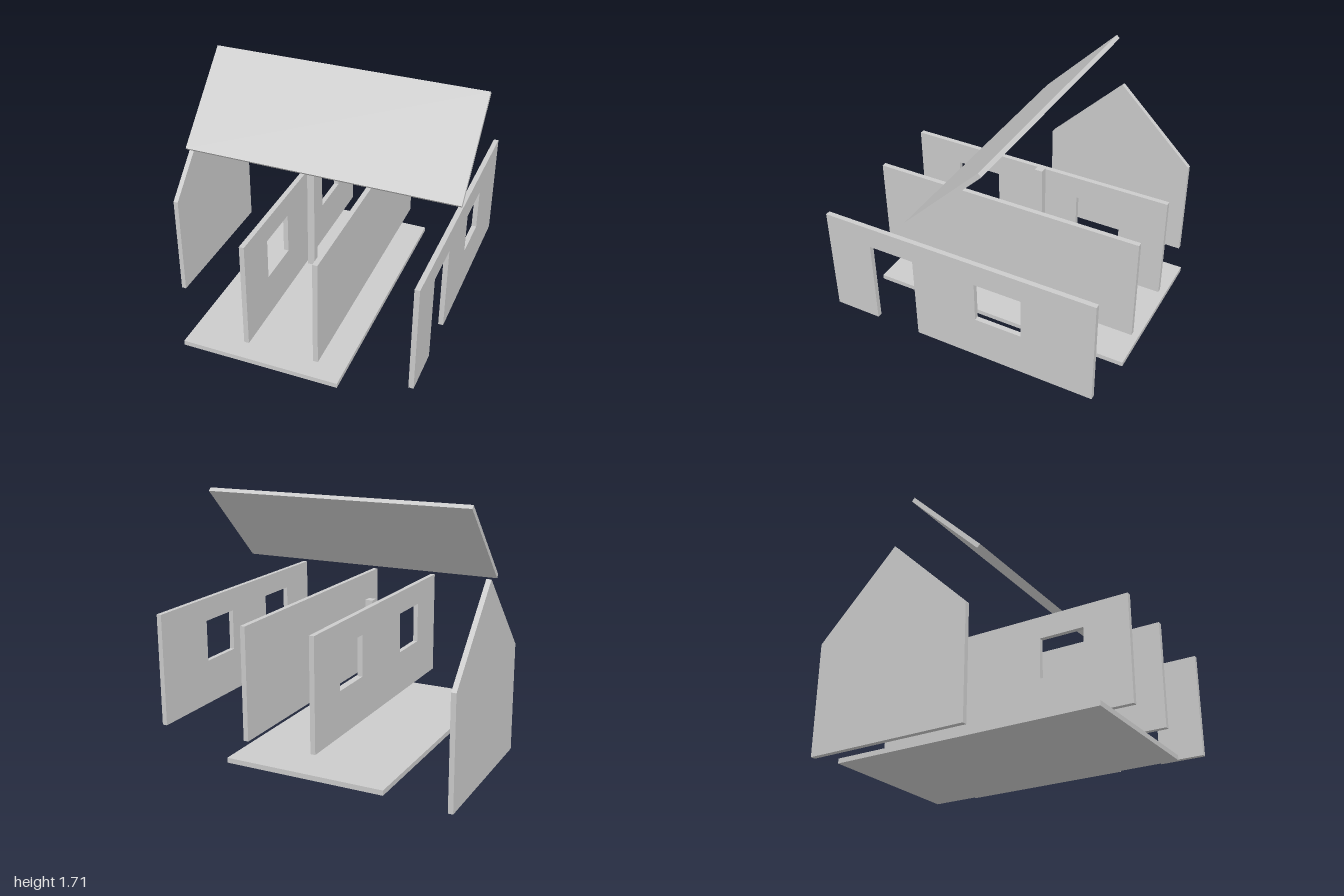
import * as THREE from 'three';

const material = new THREE.MeshStandardMaterial({ color: 0xcccccc, flatShading: true });
const WALL = 0.033; // panel thickness

export function createModel() {
  const model = new THREE.Group();
  model.name = 'explodedCabin';

  const add = (name, geometry) => {
    const mesh = new THREE.Mesh(geometry, material);
    mesh.name = name;
    model.add(mesh);
    return mesh;
  };

  // Box given by its limits on each axis
  const box = (name, [x0, x1], [y0, y1], [z0, z1]) => {
    const mesh = add(name, new THREE.BoxGeometry(x1 - x0, y1 - y0, z1 - z0));
    mesh.position.set((x0 + x1) / 2, (y0 + y1) / 2, (z0 + z1) / 2);
    return mesh;
  };

  const points = (list) => list.map(([z, y]) => new THREE.Vector2(z, y));
  const rect = (z0, z1, y0, y1) => points([[z0, y0], [z1, y0], [z1, y1], [z0, y1]]);

  // Upright panel with a (z, y) outline, centred on x
  const panel = (name, x, outline, openings = []) => {
    const shape = new THREE.Shape(outline);
    shape.holes = openings.map((o) => new THREE.Path(o));
    const geometry = new THREE.ExtrudeGeometry(shape, { depth: WALL, bevelEnabled: false });
    geometry.translate(0, 0, -WALL / 2);
    geometry.rotateY(-Math.PI / 2);
    add(name, geometry).position.x = x;
  };

  // Floor slab
  box('floor', [-0.615, 0.46], [0.095, 0.128], [-0.93, 0.93]);

  // Long walls: two windows, solid, door and window
  const full = rect(-0.93, 0.93, 0.265, 1);
  const windowAt = (z0) => rect(z0, z0 + 0.315, 0.565, 0.845);
  panel('windowWall', -0.154, full, [windowAt(-0.61), windowAt(0.3)]);
  panel('solidWall', 0.317, full);
  panel('doorWall', 0.934, points([
    [-0.93, 0.265], [0.3, 0.265], [0.3, 0.855], [0.613, 0.855],
    [0.613, 0.265], [0.93, 0.265], [0.93, 1], [-0.93, 1],
  ]), [windowAt(-0.45)]);

  // Gable end wall
  panel('gableWall', -0.983, points([
    [-0.795, 0], [0.295, 0], [0.295, 0.74], [-0.25, 1.28], [-0.795, 0.74],
  ]));

  // Slim post beside the window wall
  box('post', [-0.13, -0.08], [0.25, 1.015], [-0.065, -0.01]);

  // Sloping roof panel, low at the front
  const roof = add('roof', new THREE.BoxGeometry(1.865, 0.03, 0.735));
  roof.position.set(0.068, 1.44, 0.025);
  roof.rotation.x = Math.PI / 4;

  return model;
}
